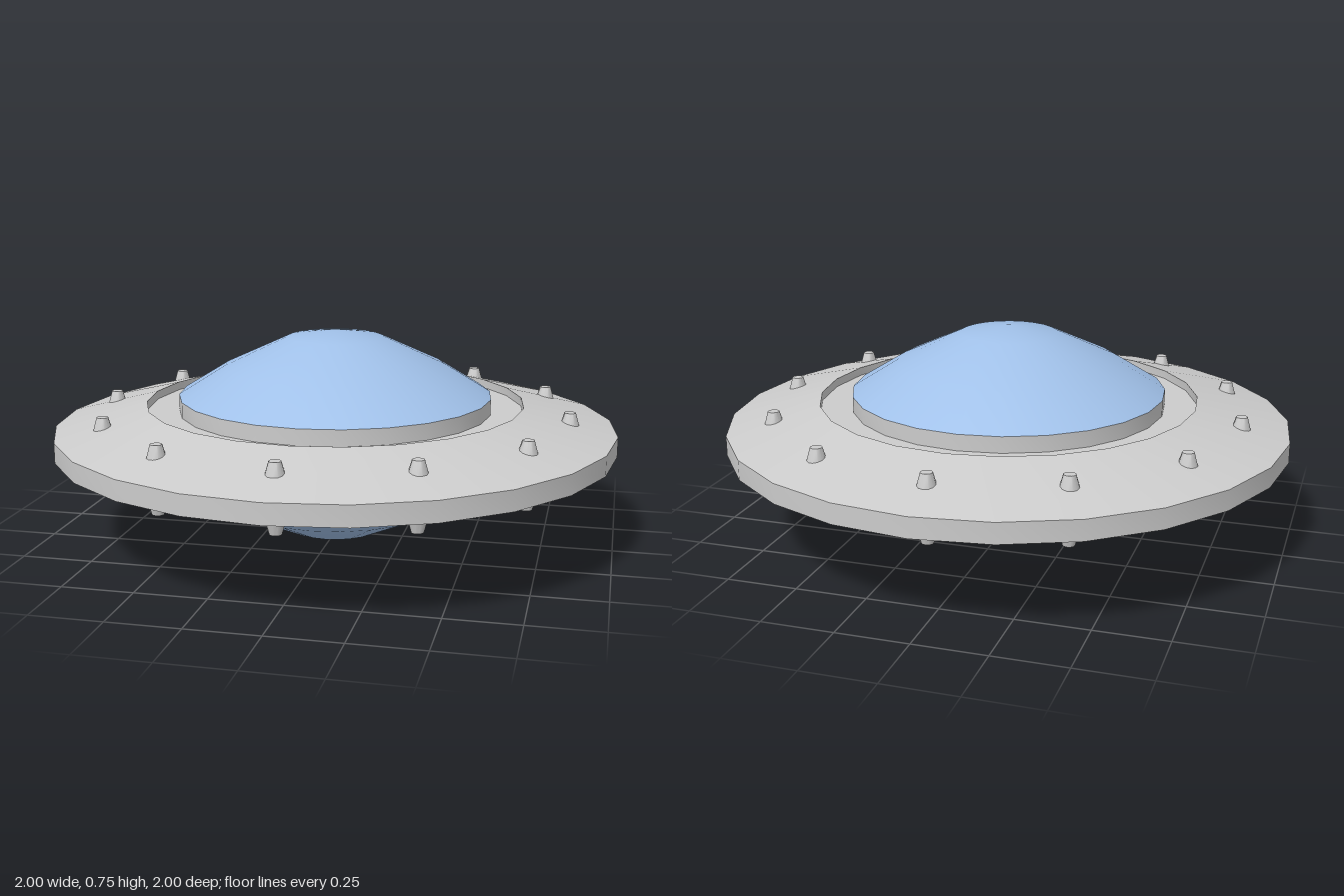
import * as THREE from 'three';
import { toCreasedNormals } from 'three/addons/utils/BufferGeometryUtils.js';

const SIDES = 24;
const MID = 0.3775; // height of the mirror plane

// Revolves a profile of [radius, height above the mirror plane], listed bottom to top
function revolve(points, material, name) {
  const profile = points.map(([r, y]) => new THREE.Vector2(r, y));
  const geometry = toCreasedNormals(new THREE.LatheGeometry(profile, SIDES), 0.7);
  const mesh = new THREE.Mesh(geometry, material);
  mesh.name = name;
  mesh.position.y = MID;
  return mesh;
}

export function createModel() {
  const grey = new THREE.MeshStandardMaterial({ color: 0xcccccc });
  const glass = new THREE.MeshStandardMaterial({ color: 0xa0c0e8 });
  const model = new THREE.Group();
  model.name = 'flyingSaucer';

  // Upper half of the hull: rim, sloping deck, groove and dome collar
  const upperHull = [[1, 0.035], [0.673, 0.121], [0.673, 0.091], [0.558, 0.091], [0.558, 0.147]];
  const lowerHull = upperHull.map(([r, y]) => [r, -y]).reverse();
  model.add(revolve([...lowerHull, ...upperHull], grey, 'hull'));

  // Domes above and below
  const dome = [[0.558, 0.147], [0.395, 0.248], [0.172, 0.351], [0, 0.3775]];
  model.add(revolve(dome, glass, 'upperDome'));
  model.add(revolve(dome.map(([r, y]) => [r, -y]).reverse(), glass, 'lowerDome'));

  // Tapered lamps around both decks
  const lampGeometry = toCreasedNormals(new THREE.CylinderGeometry(0.02, 0.034, 0.05, 12), 0.7);
  for (const side of [1, -1]) {
    const lamps = new THREE.Group();
    lamps.name = side > 0 ? 'upperLamps' : 'lowerLamps';
    for (let i = 0; i < 12; i++) {
      const a = (i / 12) * Math.PI * 2;
      const lamp = new THREE.Mesh(lampGeometry, grey);
      lamp.name = 'lamp';
      lamp.position.set(0.833 * Math.sin(a), MID + side * 0.09, 0.833 * Math.cos(a));
      if (side < 0) lamp.rotation.x = Math.PI;
      lamps.add(lamp);
    }
    model.add(lamps);
  }
  return model;
}
